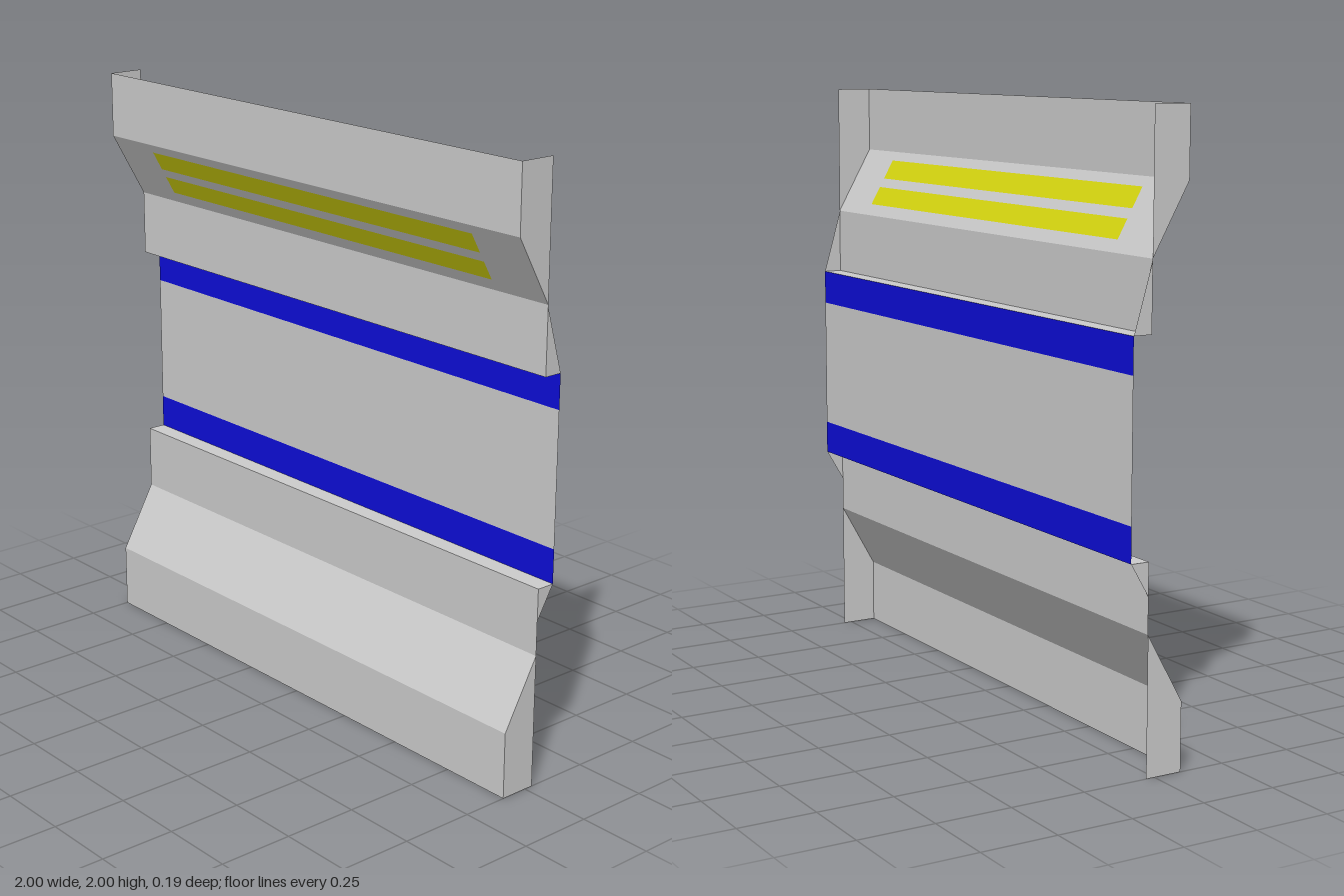
import * as THREE from 'three';

const material = (color) => new THREE.MeshStandardMaterial({ color, side: THREE.DoubleSide, flatShading: true });

export function createModel() {
  const group = new THREE.Group();
  const grey = material(0xcccccc);
  const blue = material(0x0d0dd8);
  const yellow = material(0xd6d60f);
  const front = 0.095, middle = -0.03, back = -0.093;

  // Flat strip running along x between two profile points [z, y]
  function strip(name, [z0, y0], [z1, y1], mat = grey, x0 = -1, x1 = 1) {
    const g = new THREE.BufferGeometry();
    g.setAttribute('position', new THREE.Float32BufferAttribute(
      [x0, y0, z0, x0, y1, z1, x1, y1, z1, x1, y0, z0], 3));
    g.setIndex([0, 1, 2, 0, 2, 3]);
    g.computeVertexNormals();
    const mesh = new THREE.Mesh(g, mat);
    mesh.name = name;
    group.add(mesh);
  }

  // Matching end plates at both ends, outlined by [z, y] points
  function endPlates(name, points) {
    const g = new THREE.ShapeGeometry(new THREE.Shape(points.map(([z, y]) => new THREE.Vector2(-z, y))));
    for (const side of [1, -1]) {
      const mesh = new THREE.Mesh(g, grey);
      mesh.rotation.y = Math.PI / 2;
      mesh.position.x = side;
      mesh.name = name;
      group.add(mesh);
    }
  }

  // Upper panels
  strip('topPanel', [front, 2], [front, 1.78]);
  strip('upperWeb', [middle, 1.56], [middle, 1.34]);
  strip('upperLedge', [middle, 1.34], [back, 1.34]);

  // Upper slope, divided into bands with two yellow inlays
  const slope = (y) => [middle + (front - middle) * (y - 1.56) / 0.22, y];
  const levels = [1.78, 1.75, 1.687, 1.657, 1.597, 1.56];
  for (let i = 0; i < 5; i++) {
    const a = slope(levels[i]), b = slope(levels[i + 1]);
    if (i % 2 === 0) strip('upperSlope', a, b);
    else {
      strip('upperSlope', a, b, grey, -1, -0.787);
      strip('yellowStripe', a, b, yellow, -0.787, 0.787);
      strip('upperSlope', a, b, grey, 0.787, 1);
    }
  }

  // Recessed centre panel with blue bands
  strip('upperBlueBand', [back, 1.34], [back, 1.225], blue);
  strip('centrePanel', [back, 1.225], [back, 0.78]);
  strip('lowerBlueBand', [back, 0.78], [back, 0.667], blue);

  // Lower panels
  strip('lowerLedge', [back, 0.667], [middle, 0.667]);
  strip('lowerWeb', [middle, 0.667], [middle, 0.445]);
  strip('lowerSlope', [middle, 0.445], [front, 0.222]);
  strip('bottomPanel', [front, 0.222], [front, 0]);

  // End plates closing the folds
  endPlates('topEndPlate', [[front, 2], [front, 1.78], [middle, 1.56], [middle, 2]]);
  endPlates('upperGusset', [[middle, 1.555], [middle, 1.34], [back, 1.34]]);
  endPlates('lowerGusset', [[middle, 0.667], [middle, 0.56], [back, 0.667]]);
  endPlates('bottomEndPlate', [[front, 0], [front, 0.222], [middle, 0.445], [middle, 0]]);

  return group;
}
